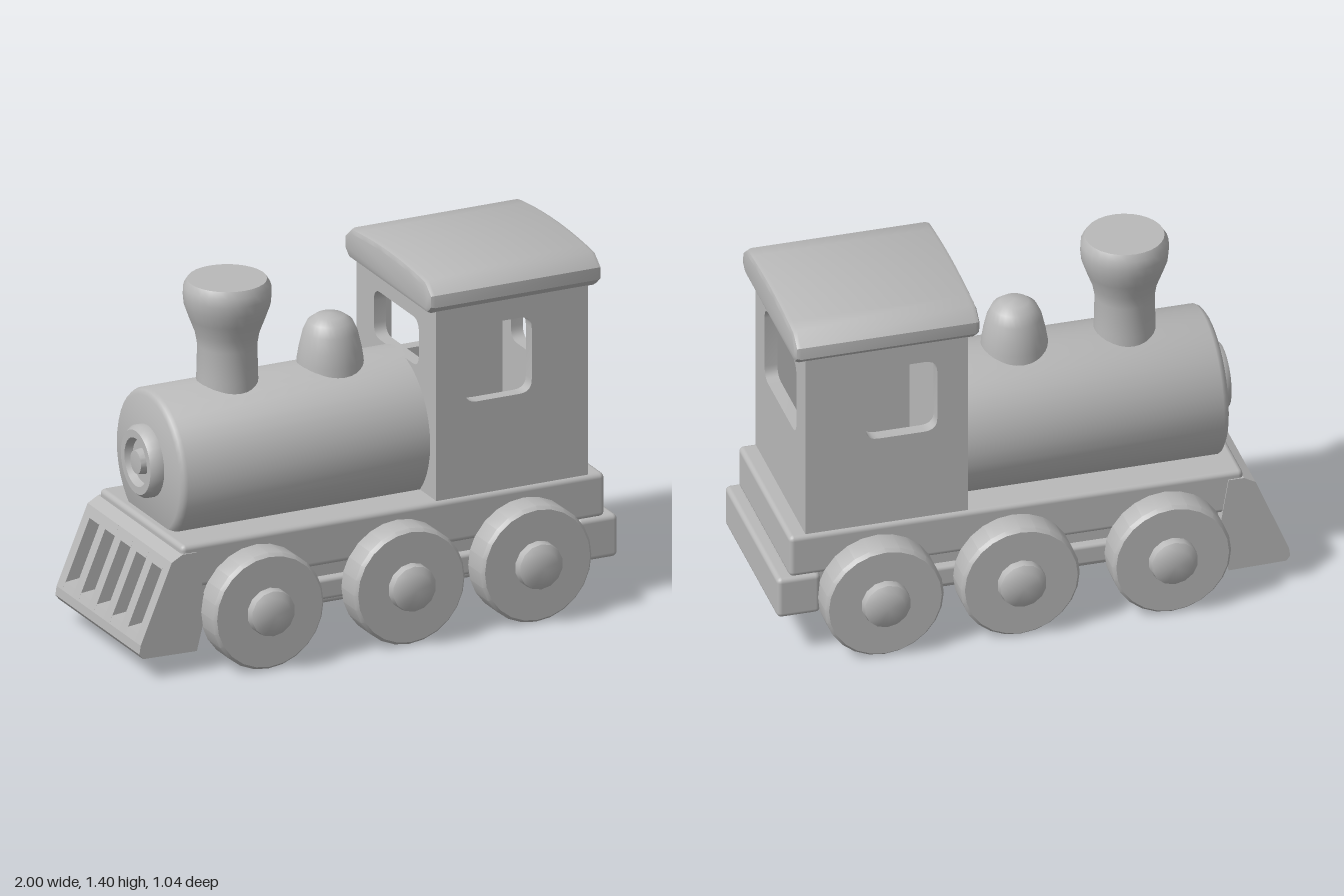
import * as THREE from 'three';
import { toCreasedNormals } from 'three/addons/utils/BufferGeometryUtils.js';
import { RoundedBoxGeometry } from 'three/addons/geometries/RoundedBoxGeometry.js';

const grey = new THREE.MeshStandardMaterial({ color: 0xb8b8b8 });
grey.name = 'plainGrey';

function add(parent, name, geometry, x = 0, y = 0, z = 0) {
  const mesh = new THREE.Mesh(geometry, grey);
  mesh.name = name;
  mesh.position.set(x, y, z);
  parent.add(mesh);
  return mesh;
}

const points = (list) => list.map(([x, y]) => new THREE.Vector2(x, y));
const lathe = (list, sides = 28) => toCreasedNormals(new THREE.LatheGeometry(points(list), sides), 0.7);

// Box given by its limits on each axis
function block(parent, name, [x0, x1], [y0, y1], [z0, z1], radius = 0.02) {
  const g = new RoundedBoxGeometry(x1 - x0, y1 - y0, z1 - z0, 2, radius);
  return add(parent, name, g, (x0 + x1) / 2, (y0 + y1) / 2, (z0 + z1) / 2);
}

function roundedRect(path, x0, x1, y0, y1, r) {
  path.moveTo(x0 + r, y0);
  path.lineTo(x1 - r, y0);
  path.quadraticCurveTo(x1, y0, x1, y0 + r);
  path.lineTo(x1, y1 - r);
  path.quadraticCurveTo(x1, y1, x1 - r, y1);
  path.lineTo(x0 + r, y1);
  path.quadraticCurveTo(x0, y1, x0, y1 - r);
  path.lineTo(x0, y0 + r);
  path.quadraticCurveTo(x0, y0, x0 + r, y0);
  return path;
}

// Upright wall with one rounded window
function wall(x0, x1, y0, y1, hole, depth) {
  const shape = new THREE.Shape(points([[x0, y0], [x1, y0], [x1, y1], [x0, y1]]));
  shape.holes.push(roundedRect(new THREE.Path(), ...hole, 0.05));
  const g = new THREE.ExtrudeGeometry(shape, { depth, bevelEnabled: false, curveSegments: 5 });
  return toCreasedNormals(g, 0.6);
}

function buildChassis() {
  const group = new THREE.Group();
  group.name = 'chassis';
  block(group, 'deck', [-0.82, 0.95], [0.34, 0.515], [-0.35, 0.35]);
  block(group, 'underframe', [-0.82, 0.95], [0.17, 0.36], [-0.31, 0.31]);
  block(group, 'rearBumper', [0.83, 1], [0.175, 0.345], [-0.36, 0.36]);
  for (const s of [-1, 1]) {
    block(group, 'axleRail', [-0.6, 0.7], [0.2, 0.285], [s * 0.32 - 0.025, s * 0.32 + 0.025], 0.015);
  }
  return group;
}

// Sloping grille: full-depth bars alternate with recessed slots
function buildCowcatcher() {
  const group = new THREE.Group();
  group.name = 'cowcatcher';
  const back = [[-0.76, 0.09], [-0.72, 0.25], [-0.76, 0.485]];
  const bar = [...back, [-0.82, 0.485], [-0.865, 0.46], [-0.995, 0.15], [-1, 0.115], [-0.985, 0.095]];
  const slot = [...back, [-0.82, 0.485], [-0.865, 0.46], [-0.882, 0.42], [-0.81, 0.4],
    [-0.89, 0.19], [-0.982, 0.18], [-0.995, 0.15], [-1, 0.115], [-0.985, 0.095]];
  const barWidth = 0.05, slotWidth = (0.71 - 6 * barWidth) / 5;
  let z = -0.355;
  for (let i = 0; i < 11; i++) {
    const isSlot = i % 2 === 1;
    const depth = isSlot ? slotWidth : barWidth;
    const shape = new THREE.Shape(points(isSlot ? slot : bar));
    add(group, isSlot ? 'grilleSlot' : 'grilleBar',
      new THREE.ExtrudeGeometry(shape, { depth, bevelEnabled: false }), 0, 0, z);
    z += depth;
  }
  return group;
}

function buildBoiler() {
  const group = new THREE.Group();
  group.name = 'boilerAssembly';
  // Barrel and front door lie along the x axis
  const barrel = lathe([[0, 0], [0.29, 0], [0.29, 1.02], [0.282, 1.035], [0.265, 1.045], [0, 1.045]], 40);
  add(group, 'boiler', barrel.rotateZ(Math.PI / 2), 0.26, 0.722, -0.005);
  const door = lathe([[0, 0], [0.14, 0], [0.14, 0.035], [0.125, 0.055], [0.095, 0.055],
    [0.085, 0.025], [0.05, 0.025], [0.045, 0.055], [0, 0.06]]);
  add(group, 'smokeboxDoor', door.rotateZ(Math.PI / 2), -0.78, 0.735, -0.01);
  // Chimney and steam dome stand on the barrel
  add(group, 'chimney', lathe([[0, 0.9], [0.12, 0.9], [0.116, 1.03], [0.113, 1.15], [0.122, 1.2],
    [0.145, 1.26], [0.163, 1.31], [0.167, 1.35], [0.165, 1.385], [0.15, 1.41], [0, 1.41]]), -0.455, 0, -0.005);
  add(group, 'steamDome', lathe([[0, 0.9], [0.13, 0.9], [0.126, 1.02], [0.118, 1.07], [0.104, 1.13],
    [0.085, 1.17], [0.055, 1.192], [0, 1.2]]), -0.025, 0, -0.005);
  return group;
}

function buildCab() {
  const group = new THREE.Group();
  group.name = 'cab';
  const t = 0.05, y0 = 0.5, y1 = 1.3;
  for (const z of [-0.335, 0.335 - t]) {
    add(group, 'sideWall', wall(0.25, 0.885, y0, y1, [0.37, 0.65, 0.885, 1.19], t), 0, 0, z);
  }
  const front = wall(-0.29, 0.29, y0, y1, [-0.19, 0.19, 1.0, 1.19], t);
  add(group, 'frontWall', front.rotateY(Math.PI / 2), 0.25);
  const rear = wall(-0.29, 0.29, y0, y1, [-0.215, 0.215, 0.88, 1.19], t);
  add(group, 'rearWall', rear.rotateY(Math.PI / 2), 0.885 - t);

  // Gently arched roof with softened edges
  const shape = new THREE.Shape();
  shape.moveTo(-0.325, 1.29);
  shape.lineTo(0.325, 1.29);
  shape.lineTo(0.348, 1.31);
  shape.lineTo(0.348, 1.34);
  shape.lineTo(0.305, 1.375);
  shape.quadraticCurveTo(0, 1.412, -0.305, 1.375);
  shape.lineTo(-0.348, 1.34);
  shape.lineTo(-0.348, 1.31);
  const roof = new THREE.ExtrudeGeometry(shape, {
    depth: 0.68, bevelThickness: 0.02, bevelSize: 0.02, bevelSegments: 2, curveSegments: 10,
  });
  add(group, 'roof', toCreasedNormals(roof, 0.7).rotateY(Math.PI / 2), 0.23);
  return group;
}

function buildWheels() {
  const group = new THREE.Group();
  group.name = 'wheels';
  const wheelProfile = [[0, 0], [0.222, 0], [0.232, 0.012], [0.232, 0.115], [0.22, 0.13], [0, 0.13]];
  const hubProfile = [[0, 0], [0.095, 0], [0.09, 0.04], [0.065, 0.058], [0, 0.062]];
  for (const x of [-0.51, 0.08, 0.61]) {
    for (const s of [-1, 1]) {
      const turn = s * Math.PI / 2;
      add(group, 'wheel', lathe(wheelProfile, 24).rotateX(turn), x, 0.242, s * 0.335);
      add(group, 'hub', lathe(hubProfile, 14).rotateX(turn), x, 0.245, s * 0.457);
    }
  }
  return group;
}

export function createModel() {
  const model = new THREE.Group();
  model.name = 'toySteamLocomotive';
  model.add(buildChassis(), buildCowcatcher(), buildBoiler(), buildCab(), buildWheels());
  model.position.y = -0.01;
  const root = new THREE.Group();
  root.add(model);
  return root;
}
